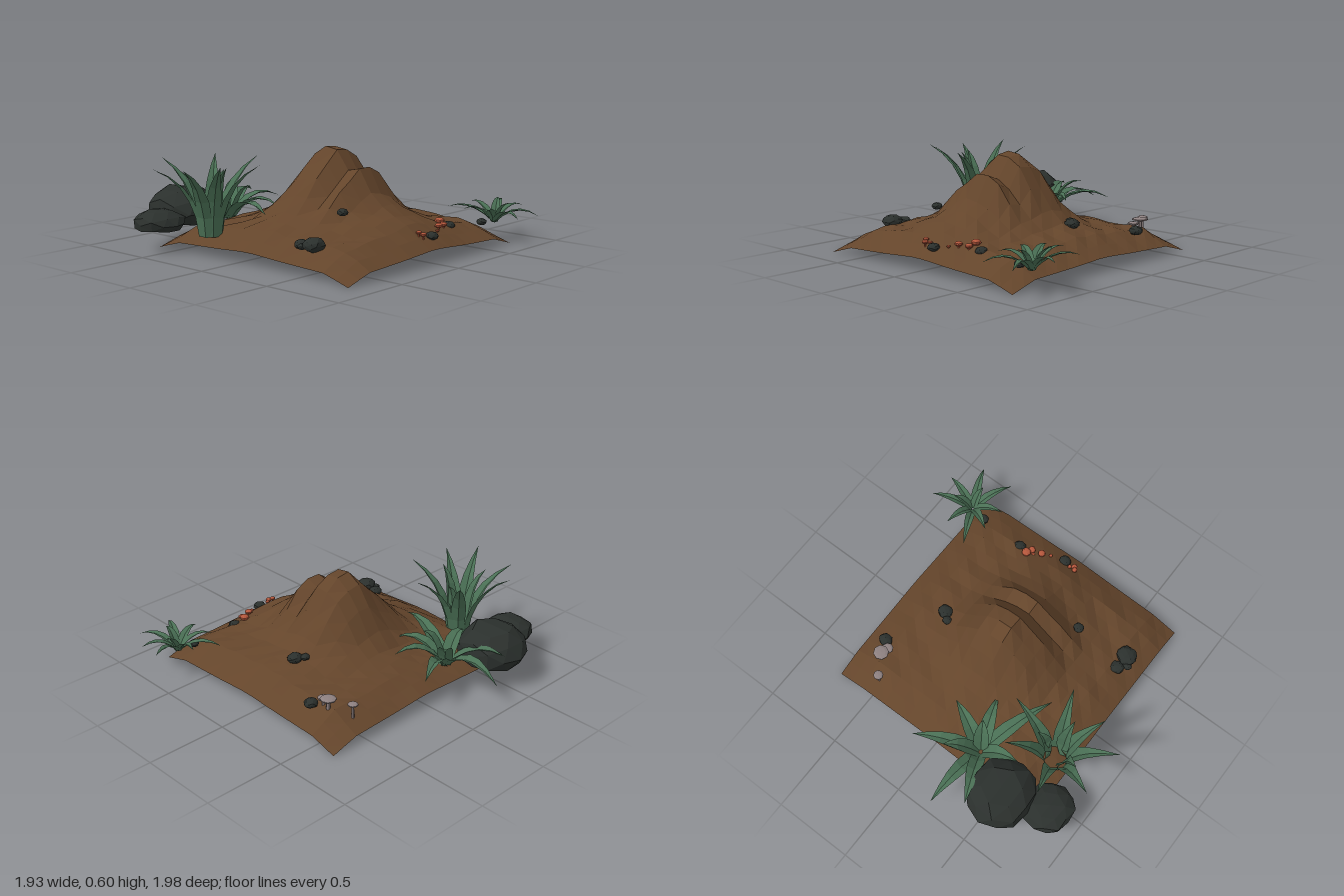
import * as THREE from 'three';

const mat = (color, side = THREE.FrontSide) =>
  new THREE.MeshStandardMaterial({ color, side, flatShading: true });
const soil = mat(0x64452b, THREE.DoubleSide);
const stone = mat(0x2b302d);
const leafGreen = mat(0x4a7055, THREE.DoubleSide);
const redCap = mat(0xb5573c);
const greyCap = mat(0x8d8080);

function addMesh(parent, name, geometry, material, x = 0, y = 0, z = 0) {
  const mesh = new THREE.Mesh(geometry, material);
  mesh.name = name;
  mesh.position.set(x, y, z);
  parent.add(mesh);
  return mesh;
}

// Piecewise linear profile through [position, value] points
function profile(points, p) {
  for (let i = 1; i < points.length; i++) {
    const [a, va] = points[i - 1], [b, vb] = points[i];
    if (p <= b) return va + (vb - va) * Math.max(0, (p - a) / (b - a));
  }
  return points[points.length - 1][1];
}

// Hill outline across x and z, and the rise of the ground from its edges
const hillX = [[-0.645, 0], [-0.47, 0.025], [-0.3, 0.08], [-0.2, 0.17], [-0.12, 0.29], [-0.034, 0.405],
  [0.053, 0.445], [0.14, 0.445], [0.228, 0.32], [0.315, 0.36], [0.4, 0.22], [0.5, 0.15], [0.65, 0.08], [0.84, 0.005]];
const hillZ = [[-0.745, 0], [-0.55, 0.11], [-0.35, 0.2], [-0.12, 0.89], [-0.02, 1], [0.07, 1],
  [0.16, 0.74], [0.26, 0.59], [0.35, 0.3], [0.54, 0.12], [0.745, 0]];
const edgeRise = [[0, 0], [0.17, 0.05], [0.5, 0.063], [0.74, 0.077]];

function groundHeight(x, z) {
  const ex = profile(edgeRise, 0.7425 - Math.abs(x - 0.0975));
  const ez = profile(edgeRise, 0.745 - Math.abs(z));
  const fx = profile(hillX, x), fz = profile(hillZ, z);
  // Fuller ground in the four diagonal quarters
  const inner = Math.min(1, ex / 0.05) * Math.min(1, ez / 0.05);
  const shoulder = 0.04 * inner * (1 - fx / 0.445) * (1 - fz);
  const rough = 0.008 * inner * Math.sin(x * 31 + z * 17);
  return 0.005 + ex + ez + fx * fz + shoulder + rough;
}

function makeGround(root) {
  const geo = new THREE.PlaneGeometry(1.485, 1.49, 17, 17);
  geo.rotateX(-Math.PI / 2).translate(0.0975, 0, 0);
  const p = geo.attributes.position;
  for (let i = 0; i < p.count; i++) p.setY(i, groundHeight(p.getX(i), p.getZ(i)));
  geo.computeVertexNormals();
  addMesh(root, 'hillGround', geo, soil);
  // Slightly tilted patch closing the hollow below the hill
  const patch = new THREE.PlaneGeometry(0.42, 0.56).rotateX(Math.PI / 2 - 0.08);
  addMesh(root, 'hillUnderside', patch, soil, 0.11, 0.092, 0);
}

// Faceted boulder, cut flat at the depth "cut" below its middle
function makeRock(root, name, x, y, z, rx, ry, rz, cut = ry) {
  const geo = new THREE.IcosahedronGeometry(1, 1);
  const p = geo.attributes.position;
  const v = new THREE.Vector3();
  for (let i = 0; i < p.count; i++) {
    v.fromBufferAttribute(p, i);
    v.multiplyScalar(1 + 0.08 * Math.sin(v.x * 5 + x * 40) * Math.cos(v.z * 4 + v.y * 3 + z * 30));
    p.setXYZ(i, v.x * rx, Math.max(v.y * ry, -cut), v.z * rz);
  }
  geo.computeVertexNormals();
  addMesh(root, name, geo, stone, x, y, z);
}

// Folded leaf swept along a curve, tapering to a point
function leafGeometry(curve, width, widths) {
  const pos = [], index = [], n = 5;
  for (let i = 0; i <= n; i++) {
    const t = i / n, c = curve.getPoint(t), tan = curve.getTangent(t);
    const side = new THREE.Vector3(-tan.z, 0, tan.x).normalize();
    const up = new THREE.Vector3().crossVectors(side, tan).normalize();
    if (up.y < 0) up.negate();
    const w = width * profile(widths, t) / 2;
    for (const s of [-1, 0, 1]) {
      const q = c.clone().addScaledVector(side, s * w).addScaledVector(up, s === 0 ? -w * 0.4 : 0);
      pos.push(q.x, q.y, q.z);
    }
    if (i < n) for (let k = 0; k < 2; k++) {
      const a = i * 3 + k;
      index.push(a, a + 1, a + 3, a + 1, a + 4, a + 3);
    }
  }
  const geo = new THREE.BufferGeometry();
  geo.setAttribute('position', new THREE.Float32BufferAttribute(pos, 3));
  geo.setIndex(index);
  geo.computeVertexNormals();
  return geo;
}

// Rosette: each tip is [x, y, z]; bend sets how far out and high the leaf arches
function makePlant(root, name, { centre, start, bendOut, bendY, width, widths, tips }) {
  const plant = new THREE.Group();
  plant.name = name;
  root.add(plant);
  const [cx, cy, cz] = centre;
  for (const [x, y, z] of tips) {
    const dx = x - cx, dz = z - cz, r = Math.hypot(dx, dz);
    const at = (d, h) => new THREE.Vector3(cx + dx / r * d, h, cz + dz / r * d);
    const curve = new THREE.QuadraticBezierCurve3(at(start, cy), at(r * bendOut, bendY), new THREE.Vector3(x, y, z));
    addMesh(plant, 'leaf', leafGeometry(curve, width, widths), leafGreen);
  }
}

function makeMushroom(root, name, x, z, r, base, top, capHeight, material) {
  const group = new THREE.Group();
  group.name = name;
  group.position.set(x, 0, z);
  root.add(group);
  const stemH = top - capHeight / 2 - base;
  addMesh(group, 'stem', new THREE.CylinderGeometry(r * 0.22, r * 0.28, stemH, 6), material, 0, base + stemH / 2, 0);
  const cap = addMesh(group, 'cap', new THREE.SphereGeometry(1, 8, 5), material, 0, top - capHeight / 2, 0);
  cap.scale.set(r, capHeight / 2, r);
}

export function createModel() {
  const root = new THREE.Group();
  root.name = 'hillScene';
  makeGround(root);

  // Large boulders beside the plants
  makeRock(root, 'largeBoulder', -0.675, 0.2, 0.53, 0.215, 0.155, 0.205, 0.07);
  makeRock(root, 'smallBoulder', -0.575, 0.17, 0.805, 0.155, 0.085, 0.15, 0.035);

  // Scattered stones: x, y, z, radius
  for (const [x, y, z, r] of [
    [-0.335, 0.155, -0.625, 0.04], [0.015, 0.22, -0.43, 0.043], [-0.025, 0.225, -0.385, 0.027],
    [0.67, 0.15, -0.35, 0.037], [0.765, 0.145, -0.065, 0.035], [0.405, 0.285, 0.295, 0.031],
    [0.385, 0.15, 0.61, 0.04], [0.48, 0.16, 0.615, 0.06], [0.43, 0.15, 0.655, 0.026],
    [0.69, 0.13, -0.655, 0.03],
  ]) makeRock(root, 'stone', x, y, z, r, r * 0.7, r * 1.1);

  // Tall plant with upright leaves
  makePlant(root, 'tallPlant', {
    centre: [-0.3, 0.11, 0.65], start: 0.055, bendOut: 0.22, bendY: 0.42, width: 0.09,
    widths: [[0, 0.9], [0.4, 1], [0.6, 0.75], [0.8, 0.4], [1, 0]],
    tips: [[-0.25, 0.55, 0.31], [0, 0.54, 0.54], [-0.05, 0.55, 0.8], [-0.16, 0.54, 0.98], [-0.45, 0.52, 0.96],
      [-0.62, 0.55, 0.74], [-0.5, 0.55, 0.42], [-0.36, 0.5, 0.82], [-0.15, 0.52, 0.66], [-0.32, 0.48, 0.52]],
  });
  // Low spreading plants
  const lowWidths = [[0, 0.75], [0.3, 1], [0.6, 0.7], [0.8, 0.38], [1, 0]];
  makePlant(root, 'spreadingPlant', {
    centre: [-0.54, 0.13, 0.27], start: 0, bendOut: 0.45, bendY: 0.36, width: 0.1, widths: lowWidths,
    tips: [[-0.72, 0.24, -0.1], [-0.97, 0.18, 0.23], [-0.4, 0.25, -0.02], [-0.22, 0.22, 0.16], [-0.06, 0.23, 0.44],
      [-0.87, 0.26, 0.41], [-0.48, 0.25, 0.5], [-0.68, 0.33, 0.1], [-0.42, 0.33, 0.2]],
  });
  makePlant(root, 'cornerPlant', {
    centre: [0.71, 0.12, -0.76], start: 0, bendOut: 0.45, bendY: 0.26, width: 0.06, widths: lowWidths,
    tips: [[0.6, 0.22, -1], [0.77, 0.2, -0.98], [0.96, 0.17, -0.86], [0.96, 0.18, -0.64], [0.77, 0.2, -0.57],
      [0.61, 0.21, -0.58], [0.45, 0.2, -0.63], [0.5, 0.22, -0.8], [0.66, 0.25, -0.87], [0.82, 0.24, -0.76]],
  });

  // Red mushrooms: x, z, cap radius, top
  for (const [x, z, r, top] of [
    [0.65, -0.285, 0.03, 0.205], [0.69, -0.27, 0.024, 0.185], [0.67, -0.25, 0.015, 0.17],
    [0.705, -0.205, 0.024, 0.19], [0.735, -0.155, 0.012, 0.165], [0.76, 0.01, 0.02, 0.175],
    [0.74, 0.025, 0.018, 0.185], [0.745, -0.015, 0.014, 0.17],
  ]) makeMushroom(root, 'redMushroom', x, z, r, groundHeight(x, z) - 0.01, top, r * 1.2, redCap);

  // Grey flat-capped mushrooms
  for (const [x, z, r, top] of [
    [-0.43, -0.58, 0.05, 0.215], [-0.38, -0.57, 0.036, 0.195], [-0.55, -0.505, 0.032, 0.2],
  ]) makeMushroom(root, 'greyMushroom', x, z, r, groundHeight(x, z) - 0.01, top, 0.022, greyCap);

  return root;
}
